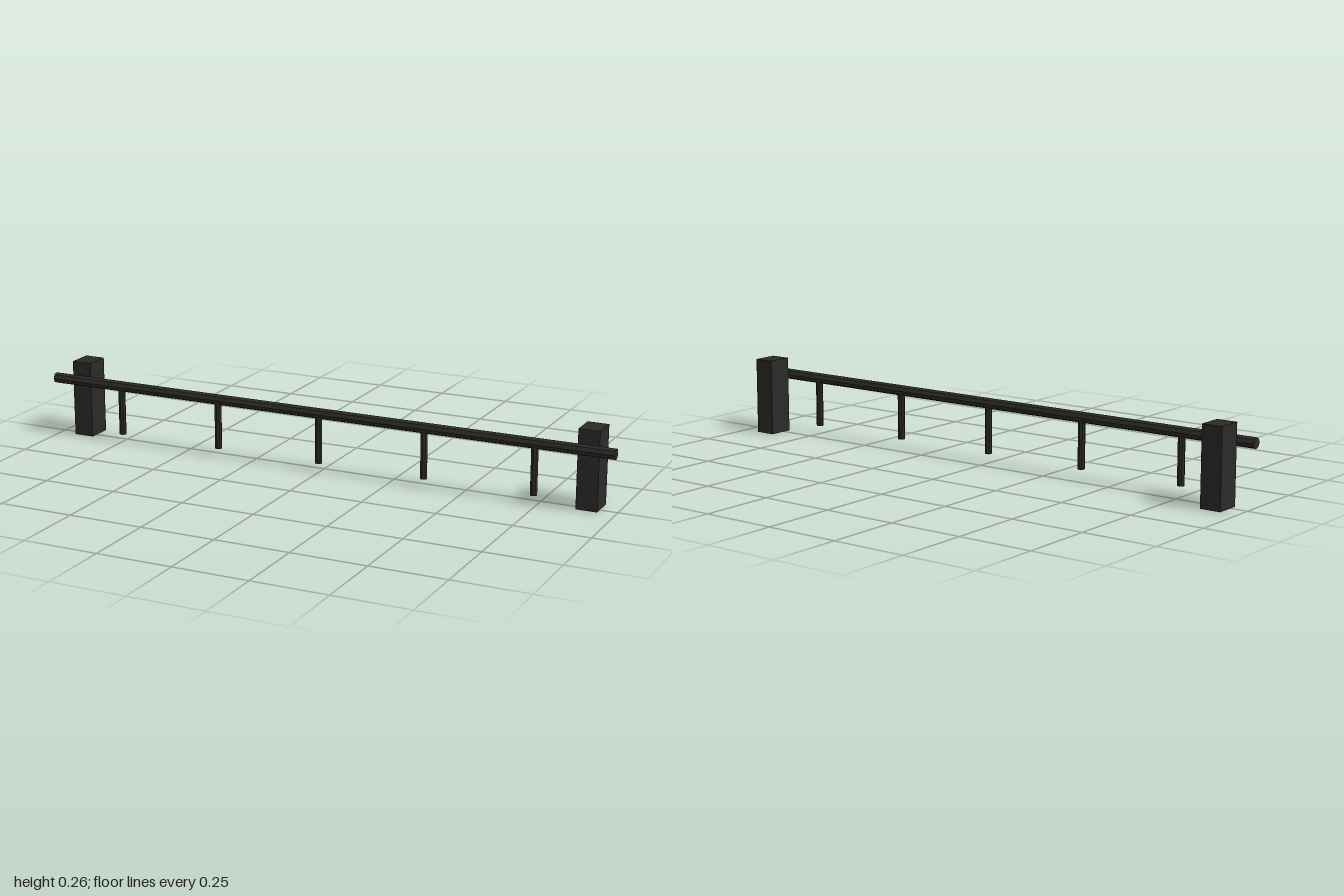
import * as THREE from 'three';

export function createModel() {
  const group = new THREE.Group();
  const material = new THREE.MeshStandardMaterial({ color: 0x2b2a28, flatShading: true });
  const railY = 0.2, railZ = 0.042;

  function add(name, geometry, x, y, z) {
    const mesh = new THREE.Mesh(geometry, material);
    mesh.name = name;
    mesh.position.set(x, y, z);
    group.add(mesh);
    return mesh;
  }

  // Long horizontal rail
  const rail = new THREE.CylinderGeometry(0.018, 0.018, 2, 8).rotateZ(Math.PI / 2);
  add('rail', rail, 0, railY, railZ);

  // Square mounting blocks behind the rail ends
  const block = new THREE.BoxGeometry(0.07, 0.26, 0.086);
  add('leftBlock', block, 0.907, 0.13, -0.017);
  add('rightBlock', block, -0.907, 0.13, -0.017);

  // Evenly spaced pegs hanging from the rail
  const bottom = 0.032, length = railY - bottom;
  const peg = new THREE.CylinderGeometry(0.012, 0.012, length, 8);
  for (let i = -2; i <= 2; i++) {
    add(`peg${i + 3}`, peg, i * 0.37, bottom + length / 2, railZ);
  }

  return group;
}
